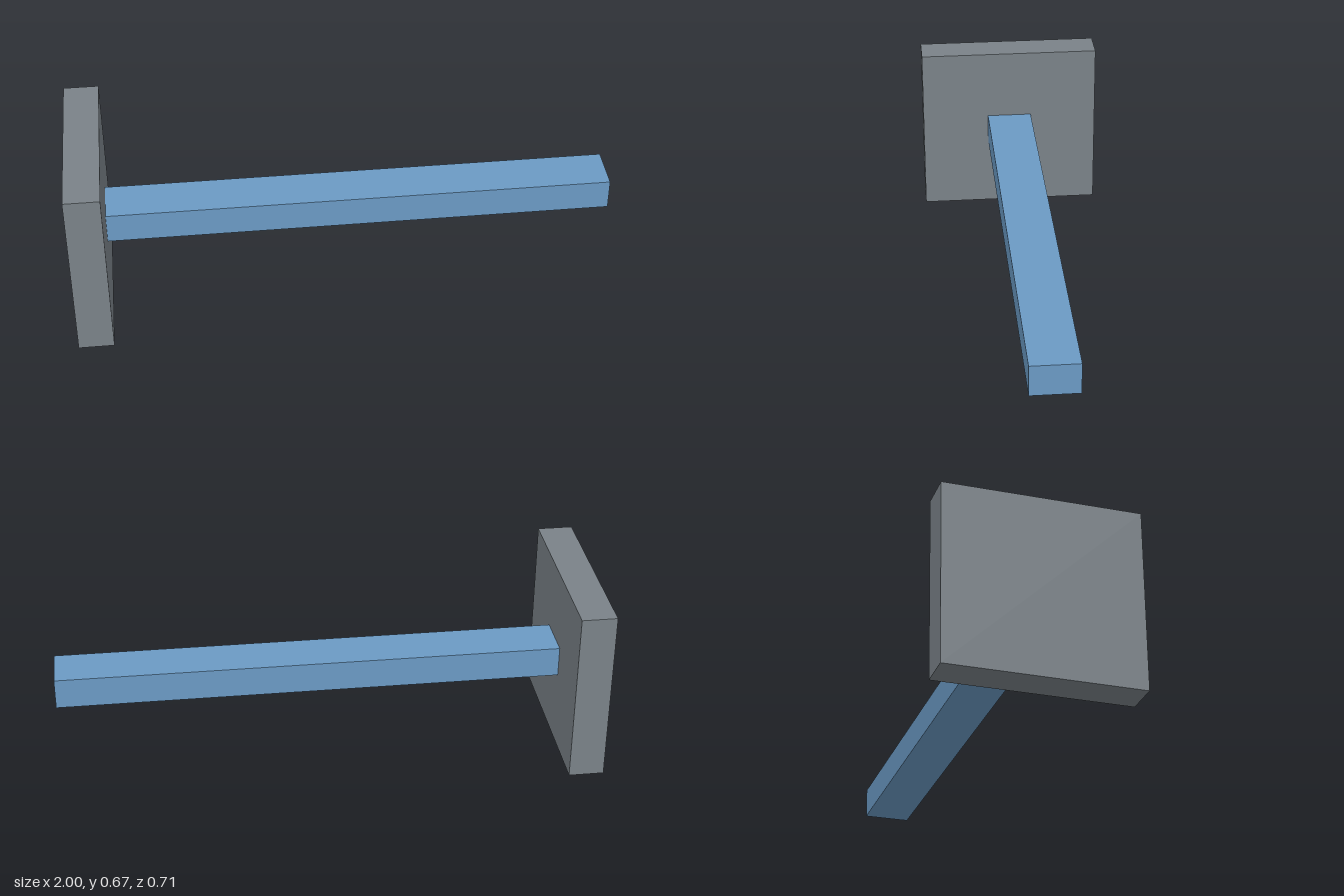
import * as THREE from 'three';

// Box spanning the given minimum and maximum corners
function block(name, min, max, color) {
  const size = max.map((v, i) => v - min[i]);
  const mesh = new THREE.Mesh(
    new THREE.BoxGeometry(...size),
    new THREE.MeshStandardMaterial({ color })
  );
  mesh.position.set(...max.map((v, i) => (v + min[i]) / 2));
  mesh.name = name;
  return mesh;
}

export function createModel() {
  const model = new THREE.Group();
  model.name = 'cantileverBeam';

  const plateFace = -0.87;

  // Upright mounting plate
  model.add(block('wallPlate', [-1, 0, -0.353], [plateFace, 0.665, 0.353], 0x7a8288));

  // Horizontal beam fixed to the plate
  model.add(block('beam', [plateFace, 0.275, -0.088], [1, 0.391, 0.088], 0x6b9ac4));

  return model;
}
